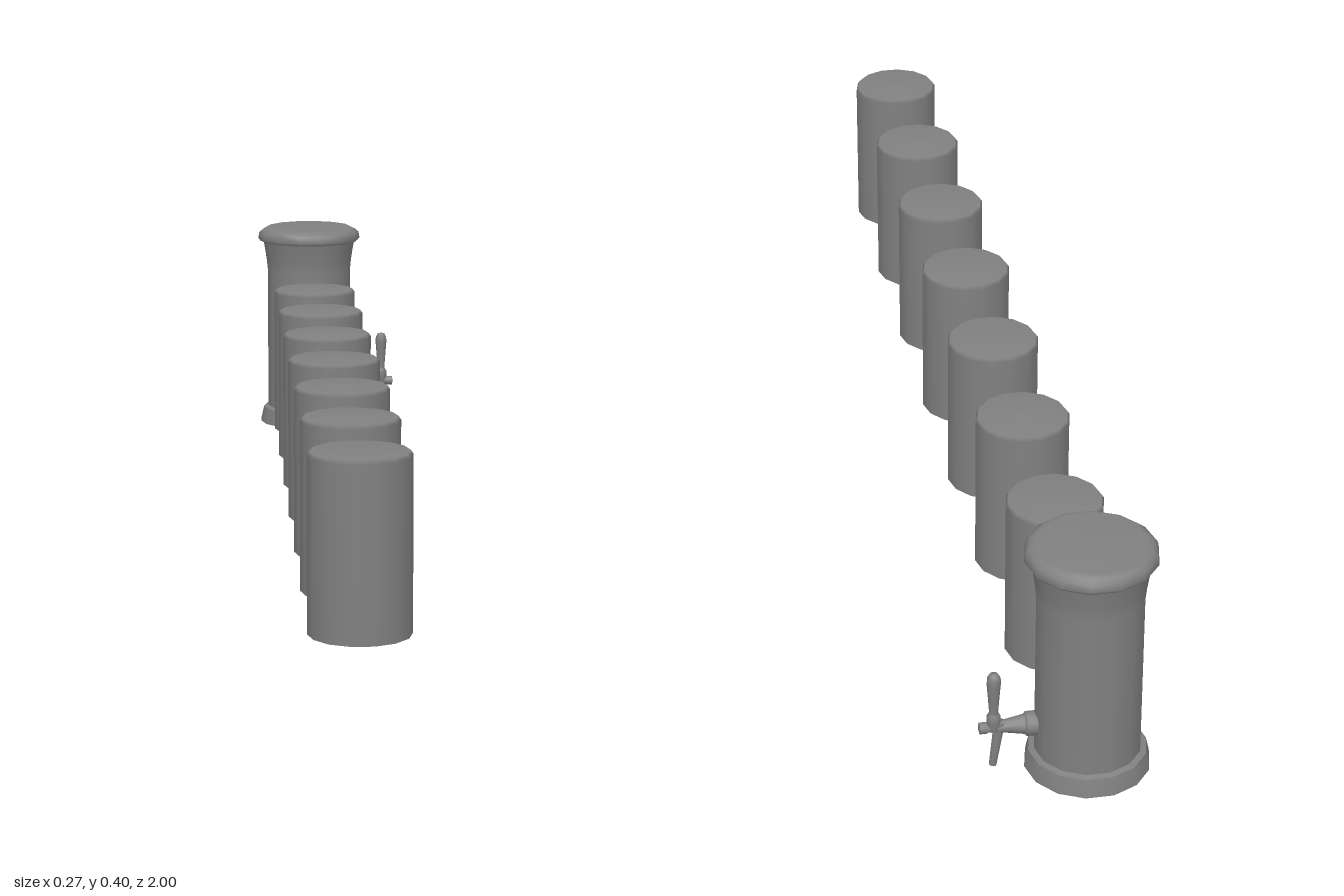
import * as THREE from 'three';

const material = new THREE.MeshStandardMaterial({ color: 0x808080, side: THREE.DoubleSide });

// Smooth turned part from [radius, height] pairs, bottom to top;
// a pair listed twice makes a sharp edge there
function turned(name, profile, sides = 14) {
  const points = profile.map(([r, y]) => new THREE.Vector2(r, y));
  const geometry = new THREE.LatheGeometry(points, sides, Math.PI / 2);
  geometry.normalizeNormals();
  const mesh = new THREE.Mesh(geometry, material);
  mesh.name = name;
  return mesh;
}

function createTap() {
  const tap = new THREE.Group();
  tap.name = 'tap';

  // Horizontal barrel: wall collar, taper and end knob
  const barrel = turned('tapBarrel', [
    [0.019, 0], [0.019, 0.016], [0.019, 0.016], [0.0155, 0.019], [0.0155, 0.019],
    [0.0095, 0.053], [0.0075, 0.075], [0.009, 0.077], [0.009, 0.088],
    [0.009, 0.088], [0, 0.09],
  ], 12);
  barrel.rotation.z = -Math.PI / 2;
  barrel.position.set(0.045, 0.08, 0);

  // Upright lever with its valve collar
  const lever = turned('tapLever', [
    [0.009, 0.075], [0.011, 0.09], [0.011, 0.1], [0.0085, 0.104], [0.007, 0.108],
    [0.009, 0.135], [0.011, 0.16], [0.0105, 0.17], [0.007, 0.177], [0, 0.179],
  ], 12);
  lever.position.x = 0.111;

  // Slightly tilted spout, open at its lower end
  const spout = turned('tapSpout', [[0.006, -0.07], [0.0085, 0], [0.0085, 0.01]], 12);
  spout.position.set(0.103, 0.08, 0);
  spout.rotation.z = 0.13;

  tap.add(barrel, lever, spout);
  return tap;
}

function createDispenser() {
  const dispenser = new THREE.Group();
  dispenser.name = 'dispenser';

  // Hollow foot with a recessed floor
  const foot = turned('foot', [
    [0.098, 0], [0.097, 0.008], [0.092, 0.03], [0.092, 0.03], [0.082, 0.033],
  ]);
  const floor = turned('floor', [[0, 0.03], [0.09, 0.03]]);

  // Straight body flaring into the neck
  const body = turned('body', [
    [0.083, 0.032], [0.083, 0.31], [0.085, 0.33], [0.088, 0.35], [0.092, 0.372],
  ]);

  // Overhanging lid with a rounded edge
  const lid = turned('lid', [
    [0.088, 0.369], [0.098, 0.369], [0.098, 0.369], [0.102, 0.374], [0.1, 0.386],
    [0.093, 0.392], [0.083, 0.397], [0, 0.397],
  ]);

  dispenser.add(foot, floor, body, lid);
  return dispenser;
}

export function createModel() {
  const model = new THREE.Group();
  model.name = 'drinkDispenserSet';
  const centreX = -0.035;
  const spacing = 0.26;
  const firstZ = 0.924;

  // Row of open-bottomed filling cylinders with gently domed tops
  for (let i = 0; i < 7; i++) {
    const filling = turned(`filling${i + 1}`, [
      [0.078, 0.035], [0.078, 0.303], [0.074, 0.309], [0, 0.312],
    ]);
    filling.position.set(centreX, 0, firstZ - i * spacing);
    model.add(filling);
  }

  // Dispenser at the back end of the row, tap towards +x
  const dispenser = createDispenser();
  dispenser.position.set(centreX, 0, -0.899);
  const tap = createTap();
  tap.position.z = -0.899;
  model.add(dispenser, tap);
  return model;
}
